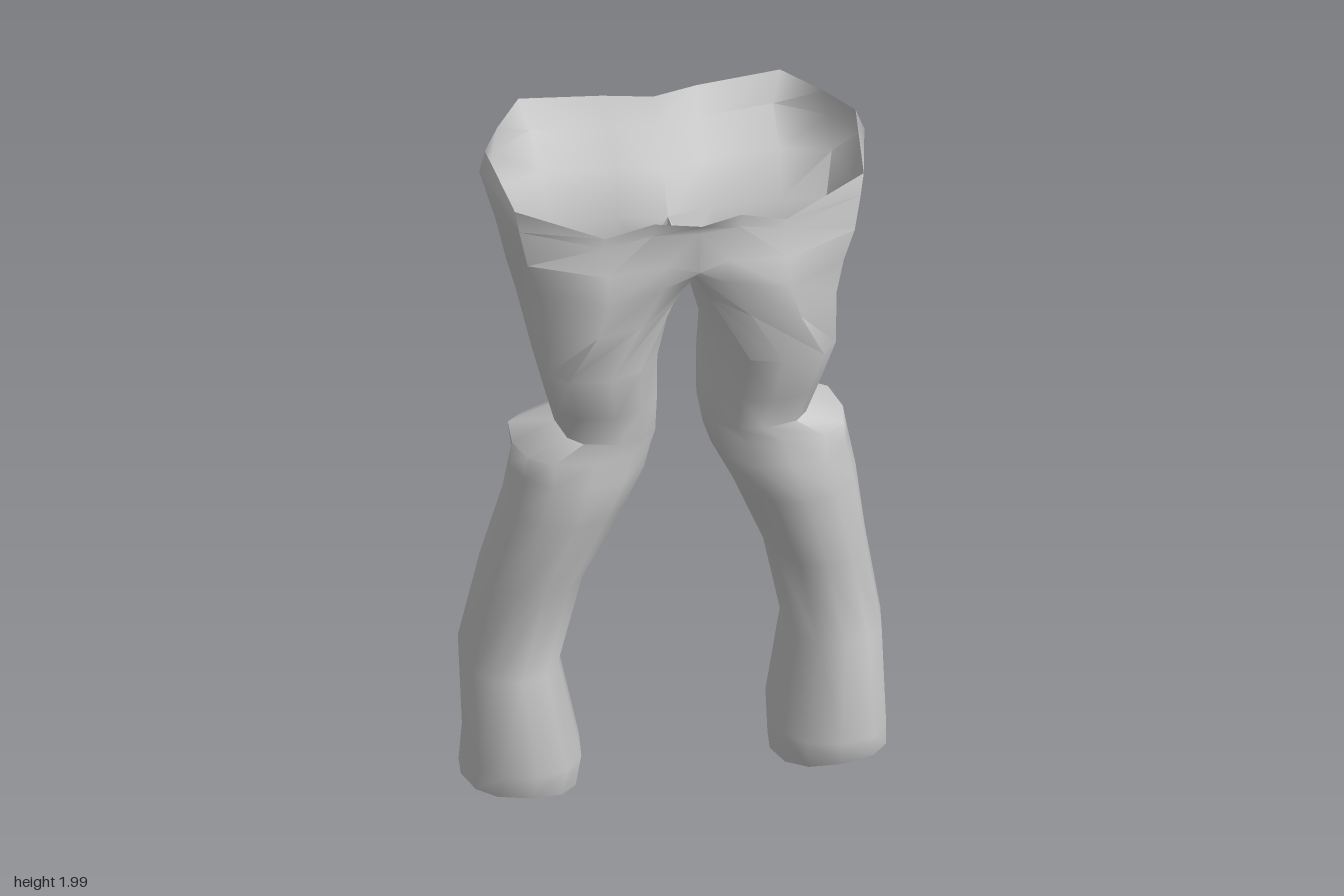
import * as THREE from 'three';
import { toCreasedNormals } from 'three/addons/utils/BufferGeometryUtils.js';

const SIDES = 12;

// Half hip rows, each running from front centre round the outside to back centre
const hipRows = [
  // waist rim
  [[0, 1.94, 0.34], [0.12, 1.93, 0.285], [0.25, 1.885, 0.26], [0.48, 1.95, 0.175], [0.51, 2, -0.07],
    [0.45, 1.995, -0.19], [0.36, 1.985, -0.34], [0.13, 1.965, -0.34], [0, 1.975, -0.29]],
  // below the rim
  [[0, 1.89, 0.295], [0.12, 1.885, 0.27], [0.25, 1.855, 0.26], [0.47, 1.89, 0.185], [0.53, 1.95, -0.05],
    [0.465, 1.92, -0.185], [0.335, 1.9, -0.31], [0.12, 1.9, -0.285], [0, 1.9, -0.25]],
  // hips
  [[0, 1.78, 0.315], [0.09, 1.79, 0.285], [0.25, 1.78, 0.29], [0.45, 1.79, 0.2], [0.49, 1.81, -0.03],
    [0.465, 1.82, -0.165], [0.33, 1.82, -0.21], [0.12, 1.82, -0.2], [0, 1.82, -0.16]],
];

// Thigh tops: the rows close round the inside of each leg
const crotchRows = [
  [[0, 1.73, 0.25], [0.09, 1.71, 0.268], [0.25, 1.7, 0.31], [0.42, 1.7, 0.2], [0.467, 1.7, 0],
    [0.44, 1.7, -0.12], [0.32, 1.7, -0.14], [0.13, 1.7, -0.14], [0, 1.71, -0.1],
    [0, 1.71, -0.03], [0, 1.71, 0.07], [0, 1.72, 0.16]],
  [[0.05, 1.63, 0.21], [0.15, 1.6, 0.27], [0.28, 1.6, 0.305], [0.4, 1.6, 0.2], [0.44, 1.6, 0],
    [0.415, 1.6, -0.11], [0.31, 1.6, -0.145], [0.15, 1.6, -0.15], [0.055, 1.6, -0.12],
    [0.022, 1.63, -0.04], [0.02, 1.65, 0.05], [0.025, 1.65, 0.13]],
];

// Corner roundness: front outer, back outer, back inner, front inner (1 is an ellipse, less is boxier)
const thigh = [0.6, 0.75, 0.65, 1];
const knee = [0.8, 0.55, 0.75, 0.95];
const shin = [0.95, 1, 1, 0.95];
const hem = [0.75, 0.85, 0.85, 0.85];

// Leg rings: corners, y, inner x, outer x, back z, front z, rise to the front, rise to the outside
const legRings = [
  [thigh, 1.45, 0.065, 0.41, -0.155, 0.285, 0, 0],
  [thigh, 1.3, 0.06, 0.37, -0.155, 0.235, 0, 0],
  [thigh, 1.18, 0.062, 0.34, -0.145, 0.2, 0.015, 0.01],
  [knee, 1.13, 0.07, 0.455, -0.16, 0.205, 0.015, 0],
  [shin, 1.07, 0.09, 0.465, -0.15, 0.21, 0, 0],
  [shin, 0.95, 0.15, 0.488, -0.14, 0.205, 0, 0],
  [shin, 0.7, 0.25, 0.53, -0.22, 0.135, 0, 0],
  [shin, 0.42, 0.31, 0.58, -0.27, 0.11, 0, 0],
  [hem, 0.16, 0.26, 0.575, -0.24, 0.18, 0, 0],
  [hem, 0.045, 0.27, 0.58, -0.255, 0.15, 0.035, 0.014],
];

const rounded = (v, power) => Math.sign(v) * Math.abs(v) ** power;

function legRow([corners, y, xIn, xOut, zBack, zFront, riseFront, riseOut]) {
  return Array.from({ length: SIDES }, (_, i) => {
    const a = ((i - 4) / SIDES) * Math.PI * 2;
    const outer = Math.cos(a) > 0;
    const front = Math.sin(a) < 0;
    const power = corners[outer ? (front ? 0 : 1) : (front ? 3 : 2)];
    const c = rounded(Math.cos(a), power);
    const s = rounded(-Math.sin(a), power);
    return [
      (xIn + xOut) / 2 + (c * (xOut - xIn)) / 2,
      y + riseFront * s + riseOut * c,
      (zBack + zFront) / 2 + (s * (zFront - zBack)) / 2,
    ];
  });
}

function trouserGeometry() {
  const rows = [...hipRows, ...crotchRows, ...legRings.map(legRow)];
  const positions = [];
  for (const side of [1, -1]) {
    const addTriangle = (a, b, c) => {
      for (const p of side > 0 ? [a, b, c] : [a, c, b]) positions.push(side * p[0], p[1], p[2]);
    };
    for (let r = 0; r < rows.length - 1; r++) {
      const top = rows[r];
      const low = rows[r + 1];
      // Hip rows are open at the centre line, leg rows are closed
      const count = top.length < SIDES ? top.length - 1 : SIDES;
      for (let i = 0; i < count; i++) {
        const j = (i + 1) % SIDES;
        addTriangle(top[i], low[i], low[j]);
        addTriangle(top[i], low[j], top[j]);
      }
    }
  }
  const geometry = new THREE.BufferGeometry();
  geometry.setAttribute('position', new THREE.Float32BufferAttribute(positions, 3));
  return toCreasedNormals(geometry, 1.1);
}

export function createModel() {
  const cloth = new THREE.MeshStandardMaterial({ color: 0xcccccc, side: THREE.DoubleSide });
  cloth.name = 'grey cloth';

  const group = new THREE.Group();
  group.name = 'trousers';
  const mesh = new THREE.Mesh(trouserGeometry(), cloth);
  mesh.name = 'waistAndLegs';
  group.add(mesh);
  return group;
}
